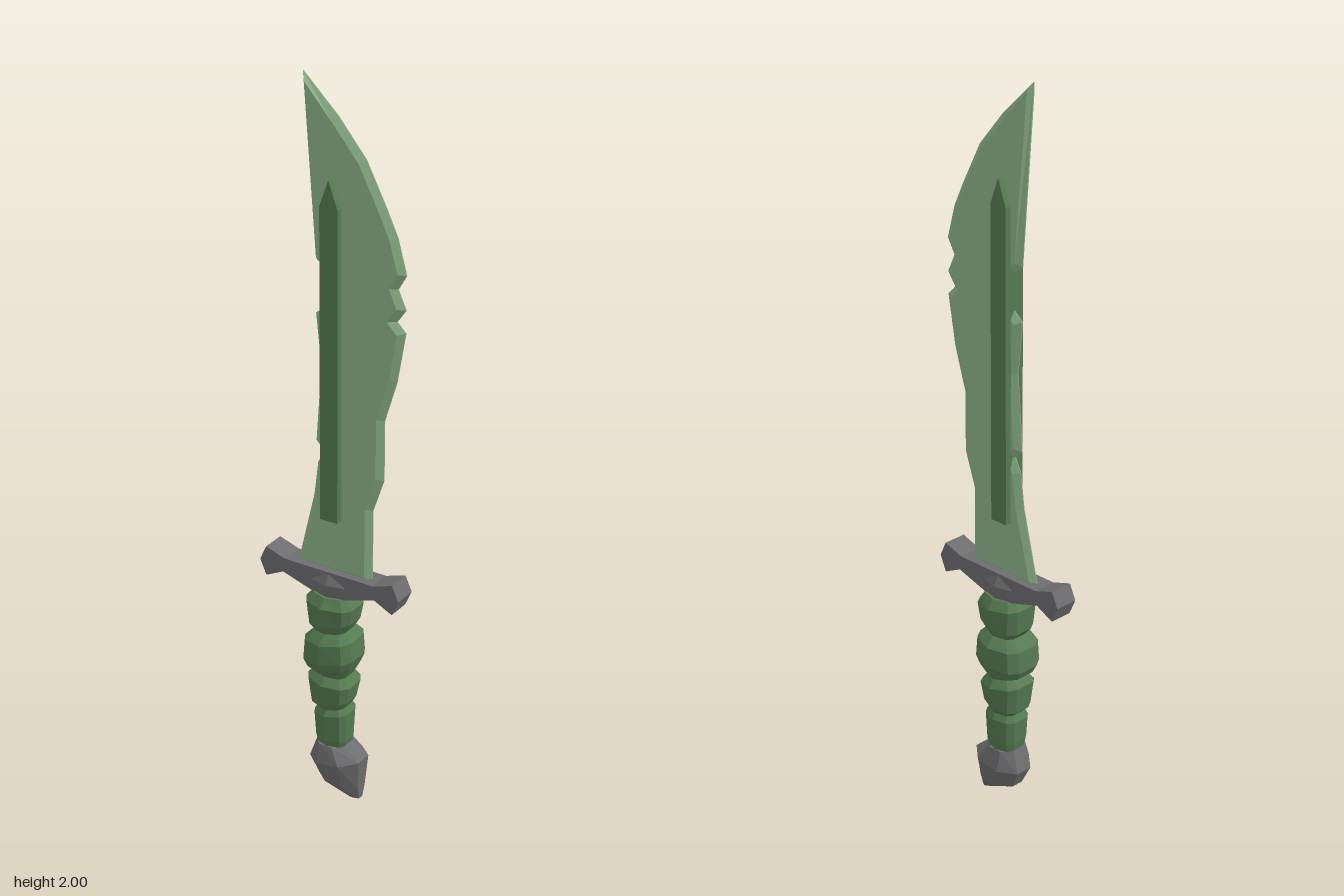
import * as THREE from 'three';

const mat = (name, color) => {
  const m = new THREE.MeshStandardMaterial({ color });
  m.name = name;
  return m;
};

// Sections as [x, z] factors, walked from +x towards +z
const GRIP_SECTION = [[1, 0.4], [0.78, 0.74], [0, 1], [-0.78, 0.74], [-1, 0.4],
  [-1, -0.4], [-0.78, -0.74], [0, -1], [0.78, -0.74], [1, -0.4]];
const POMMEL_SECTION = [[1, 0.4], [0.45, 1], [-0.45, 1], [-1, 0.4],
  [-1, -0.4], [-0.45, -1], [0.45, -1], [1, -0.4]];

// Faceted loft through rows of [y, centreX, halfX, halfZ, slope], bottom to top
function loft(section, rows) {
  const pos = [];
  const n = section.length;
  const point = ([y, cx, hx, hz, slope], j) => {
    const [sx, sz] = section[j % n];
    return [cx + sx * hx, y + sx * hx * slope, sz * hz];
  };
  const centre = (r) => [r[1], r[0], 0];
  const last = rows[rows.length - 1];
  for (let j = 0; j < n; j++) {
    for (let i = 0; i < rows.length - 1; i++) {
      const a = point(rows[i], j), b = point(rows[i + 1], j);
      const c = point(rows[i + 1], j + 1), d = point(rows[i], j + 1);
      pos.push(...a, ...b, ...c, ...a, ...c, ...d);
    }
    pos.push(...centre(rows[0]), ...point(rows[0], j), ...point(rows[0], j + 1));
    pos.push(...centre(last), ...point(last, j + 1), ...point(last, j));
  }
  const g = new THREE.BufferGeometry();
  g.setAttribute('position', new THREE.Float32BufferAttribute(pos, 3));
  g.computeVertexNormals();
  return g;
}

// Outline in x/y, extruded evenly to both sides of z = 0
function plate(points, depth, bevel = {}) {
  const shape = new THREE.Shape(points.map(([x, y]) => new THREE.Vector2(x, y)));
  const g = new THREE.ExtrudeGeometry(shape, { depth, bevelEnabled: false, ...bevel });
  return g.translate(0, 0, -depth / 2);
}

export function createModel() {
  const bladeGreen = mat('pale green blade', 0x8fb58c);
  const darkGreen = mat('dark green', 0x567b52);
  const grey = mat('grey metal', 0x6e6e70);
  const model = new THREE.Group();
  const add = (name, geometry, material) => {
    const mesh = new THREE.Mesh(geometry, material);
    mesh.name = name;
    model.add(mesh);
  };

  // Curved, nicked blade with sharpened edges
  add('blade', plate([
    [-0.112, 0.67], [0.115, 0.67], [0.115, 0.88], [0.147, 0.975], [0.147, 1.14],
    [0.182, 1.255], [0.205, 1.39], [0.18, 1.415], [0.205, 1.45], [0.182, 1.5],
    [0.205, 1.54], [0.18, 1.63], [0.147, 1.7], [0.09, 1.81], [0.01, 1.905], [-0.09, 2],
    [-0.055, 1.53], [-0.025, 1.505], [-0.025, 1.41], [-0.055, 1.385], [-0.04, 1.245],
    [-0.055, 1.035], [-0.032, 1.012], [-0.05, 0.975], [-0.062, 0.88],
  ], 0.002, {
    bevelEnabled: true, bevelSegments: 1, bevelThickness: 0.012, bevelSize: 0.018, bevelOffset: -0.018,
  }), bladeGreen);

  // Raised pointed bar through the blade
  add('bladeSpine', plate([
    [-0.026, 0.83], [0.026, 0.83], [0.026, 1.68], [0, 1.75], [-0.026, 1.68],
  ], 0.06), darkGreen);

  // Crossguard: one half profile, mirrored
  const half = [[0.05, 0.615], [0.14, 0.643], [0.193, 0.617], [0.212, 0.66],
    [0.193, 0.702], [0.135, 0.683]];
  const mirrored = half.map(([x, y]) => [-x, y]).reverse();
  add('crossguard', plate([[0, 0.605], ...half, ...mirrored], 0.066), grey);
  add('guardCollar', loft(GRIP_SECTION, [
    [0.6, 0, 0.045, 0.042, 0], [0.65, 0, 0.06, 0.048, 0], [0.675, 0, 0.045, 0.034, 0],
  ]), grey);

  // Grip of four uneven wrapped swellings
  add('grip', loft(GRIP_SECTION, [
    [0.15, 0, 0.04, 0.042, 0],
    [0.18, 0, 0.046, 0.05, -0.1],
    [0.255, 0, 0.05, 0.054, 0.1],
    [0.272, 0, 0.04, 0.045, 0.1],
    [0.292, -0.002, 0.054, 0.06, 0.15],
    [0.355, -0.002, 0.064, 0.067, -0.1],
    [0.377, 0, 0.045, 0.05, -0.1],
    [0.4, -0.002, 0.064, 0.07, 0.12],
    [0.425, -0.003, 0.075, 0.079, 0.12],
    [0.482, -0.003, 0.07, 0.077, 0.1],
    [0.507, 0, 0.046, 0.052, 0.1],
    [0.532, 0, 0.062, 0.066, 0.15],
    [0.59, 0, 0.07, 0.071, -0.05],
    [0.615, 0, 0.052, 0.052, 0],
  ]), darkGreen);

  // Hooked faceted pommel
  add('pommel', loft(POMMEL_SECTION, [
    [0.012, 0.05, 0.032, 0.022, -0.35],
    [0.042, 0.022, 0.062, 0.042, -0.1],
    [0.112, 0.013, 0.077, 0.062, 0.16],
    [0.16, -0.002, 0.042, 0.046, 0],
  ]), grey);

  return model;
}
